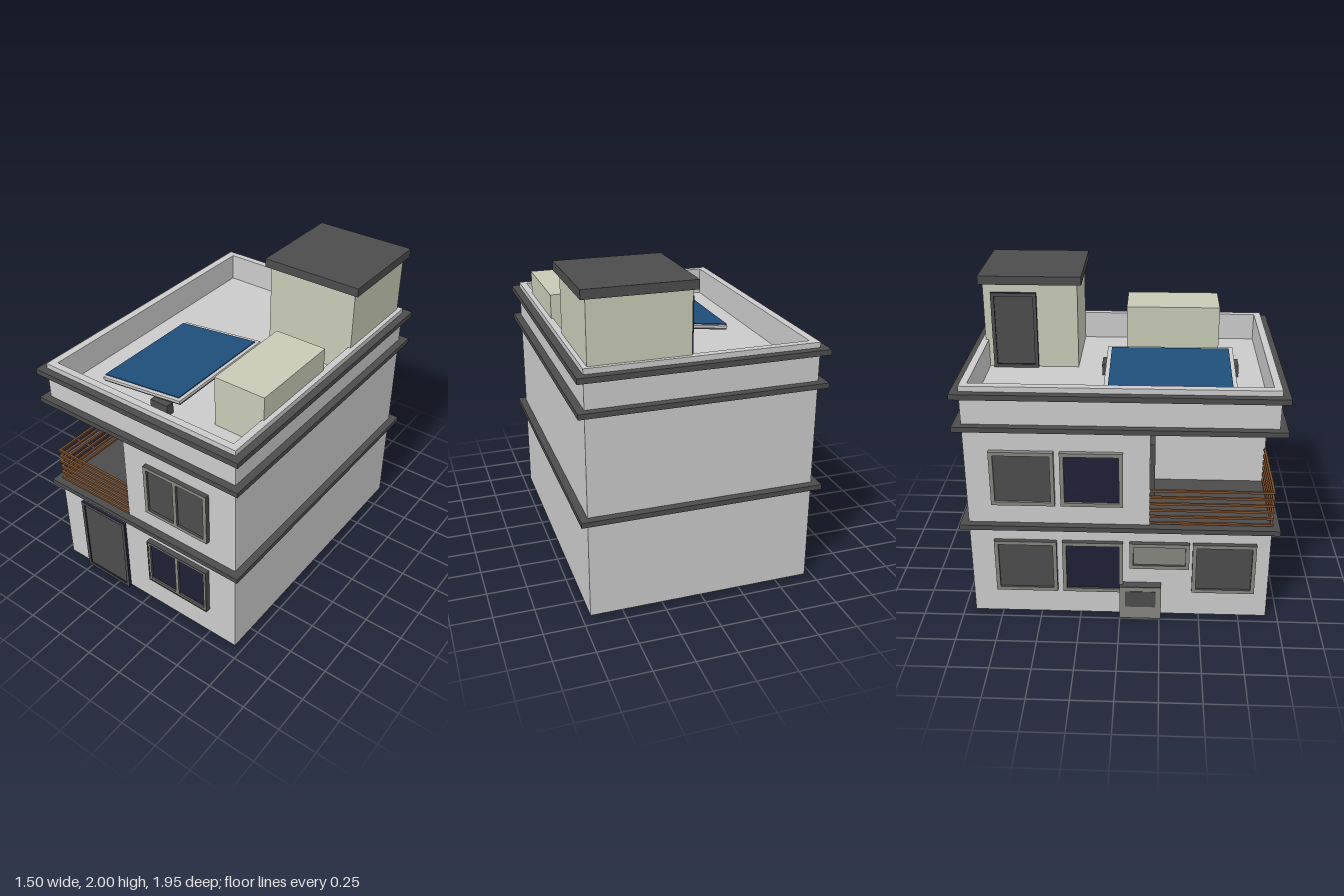
import * as THREE from 'three';

const mat = (name, color) => {
  const m = new THREE.MeshStandardMaterial({ color });
  m.name = name;
  return m;
};

export function createModel() {
  const wall = mat('light grey plaster', 0xcacaca);
  const dark = mat('dark grey trim', 0x4c4c4c);
  const cream = mat('cream plaster', 0xc8cab6);
  const grey = mat('window frame grey', 0x85867f);
  const navy = mat('navy glass', 0x1f2036);
  const blue = mat('solar blue', 0x1f4e79);
  const wood = mat('brown wood', 0x80502c);

  const house = new THREE.Group();
  house.name = 'house';

  const add = (name, geometry, material, parent = house) => {
    const mesh = new THREE.Mesh(geometry, material);
    mesh.name = name;
    parent.add(mesh);
    return mesh;
  };
  // Box given by its limits on each axis
  const box = (name, material, [x0, x1], [y0, y1], [z0, z1], parent) => {
    const g = new THREE.BoxGeometry(x1 - x0, y1 - y0, z1 - z0);
    g.translate((x0 + x1) / 2, (y0 + y1) / 2, (z0 + z1) / 2);
    return add(name, g, material, parent);
  };
  const rect = (x0, x1, y0, y1) => [[x0, y0], [x1, y0], [x1, y1], [x0, y1]].map(p => new THREE.Vector2(...p));
  const extrude = (outline, holes, depth) => {
    const shape = new THREE.Shape(outline);
    for (const h of holes) shape.holes.push(new THREE.Path(h));
    return new THREE.ExtrudeGeometry(shape, { depth, bevelEnabled: false });
  };
  // Floor plan (x, z) raised between two heights
  const plan = (name, material, outline, holes, y0, y1) =>
    add(name, extrude(outline, holes, y1 - y0).rotateX(Math.PI / 2).translate(0, y1, 0), material);

  // Framed opening facing local +z: raised frame with recessed panes
  const opening = (name, [x0, x1], [y0, y1], o) => {
    const { panes = [dark], face = grey, side = dark, depth = 0.03, t = 0.024, rim = null } = o;
    const group = new THREE.Group();
    group.name = name;
    const holes = [];
    const w = (x1 - x0 - t * (panes.length + 1)) / panes.length;
    panes.forEach((glass, i) => {
      const a = x0 + t + i * (w + t);
      holes.push(rect(a, a + w, y0 + t, y1 - t));
      box('pane', glass, [a, a + w], [y0 + t, y1 - t], [0, depth * 0.5], group);
    });
    add('frame', extrude(rect(x0, x1, y0, y1), holes, depth), [face, side], group);
    if (rim) {
      const r = 0.009;
      const ring = extrude(rect(x0, x1, y0, y1), [rect(x0 + r, x1 - r, y0 + r, y1 - r)], 0.003);
      add('rim', ring.translate(0, 0, depth), rim, group);
    }
    house.add(group);
    return group;
  };
  const onLeftWall = (group, x) => {
    group.rotation.y = -Math.PI / 2;
    group.position.x = x;
  };

  // Storeys: the upper one leaves a corner open for the balcony
  const X = 0.7, Z = 0.925, bx = -0.12, bz = 0.18;
  box('groundFloor', wall, [-X, X], [0.015, 0.65], [-Z, Z]);
  const lShape = [[-X, -Z], [X, -Z], [X, Z], [bx, Z], [bx, bz], [-X, bz]].map(p => new THREE.Vector2(...p));
  plan('upperFloor', wall, lShape, [], 0.66, 1.31);
  box('roofDeck', wall, [-X, X], [1.31, 1.39], [-Z, Z]);
  plan('parapet', wall, rect(-X, X, -Z, Z), [rect(-0.65, 0.655, -0.88, 0.88)], 1.39, 1.57);

  // Projecting trim bands
  box('lowerBand', dark, [-0.747, 0.747], [0.64, 0.672], [-0.975, 0.972]);
  box('middleBand', dark, [-0.747, 0.747], [1.3, 1.332], [-0.975, 0.972]);
  plan('upperBand', dark, rect(-0.747, 0.747, -0.975, 0.972), [rect(-0.69, 0.69, -0.91, 0.91)], 1.503, 1.537);

  // Front door and windows
  opening('frontDoor', [-0.53, -0.16], [0.005, 0.572], { face: dark, side: navy, depth: 0.02, t: 0.022 })
    .position.z = Z;
  opening('frontLowerWindow', [0.04, 0.505], [0.218, 0.557], { panes: [navy, navy], rim: dark, t: 0.022 })
    .position.z = Z;
  opening('frontUpperWindow', [0.05, 0.515], [0.807, 1.165], { panes: [dark, dark] }).position.z = Z;
  opening('balconyWindow', [-0.595, -0.185], [0.807, 1.165], { panes: [dark, dark] }).position.z = bz;

  // Left wall windows
  for (const [floor, y] of [['Lower', [0.19, 0.55]], ['Upper', [0.807, 1.165]]]) {
    const side = floor === 'Lower' ? dark : grey;
    onLeftWall(opening(`left${floor}RearWindow`, [-0.775, -0.39], y, { side }), -X);
    onLeftWall(opening(`left${floor}MiddleWindow`, [-0.355, 0.02], y, { side, panes: [navy] }), -X);
  }
  onLeftWall(opening('leftSmallWindow', [0.06, 0.43], [0.37, 0.55], { panes: [grey] }), -X);
  onLeftWall(opening('leftFrontWindow', [0.45, 0.84], [0.2, 0.55], {}), -X);

  // Utility box on the left wall
  box('utilityBox', grey, [-0.753, -X], [0.012, 0.243], [0, 0.26]);
  box('utilityBoxLid', dark, [-0.755, -X], [0.243, 0.25], [0, 0.26]);
  box('utilityBoxPanel', dark, [-0.756, -0.753], [0.1, 0.215], [0.035, 0.225]);

  // Balcony rails
  for (let i = 0; i < 6; i++) {
    const y = [0.678 + i * 0.0445, 0.692 + i * 0.0445];
    box('frontRail', wood, [-X, bx], y, [0.916, 0.93]);
    box('sideRail', wood, [-X, -X + 0.014], y, [bz, 0.916]);
  }

  // Stair tower with its roof and door, and the storage box
  box('stairTower', cream, [0.075, 0.672], [1.38, 1.95], [-0.9, -0.3]);
  box('stairTowerRoof', dark, [0.048, 0.703], [1.945, 2], [-0.925, -0.272]);
  onLeftWall(opening('stairTowerDoor', [-0.85, -0.56], [1.39, 1.89],
    { face: dark, side: navy, depth: 0.025, t: 0.022 }), 0.075);
  box('storageBox', cream, [0.33, 0.668], [1.38, 1.72], [0.005, 0.62]);

  // Tilted solar panel on two feet
  const panel = new THREE.Group();
  panel.name = 'solarPanel';
  panel.position.set(-0.165, 1.475, 0.294);
  panel.rotation.z = 0.12;
  box('panelBacking', dark, [-0.3, 0.3], [-0.022, -0.01], [-0.4, 0.4], panel);
  box('panelFrame', wall, [-0.302, 0.302], [-0.01, 0.004], [-0.404, 0.404], panel);
  box('panelCells', blue, [-0.308, 0.277], [0.004, 0.01], [-0.378, 0.378], panel);
  house.add(panel);
  for (const z of [[-0.138, -0.08], [0.67, 0.727]])
    box('panelFoot', dark, [-0.062, 0.062], [1.39, 1.465], z);

  return house;
}
